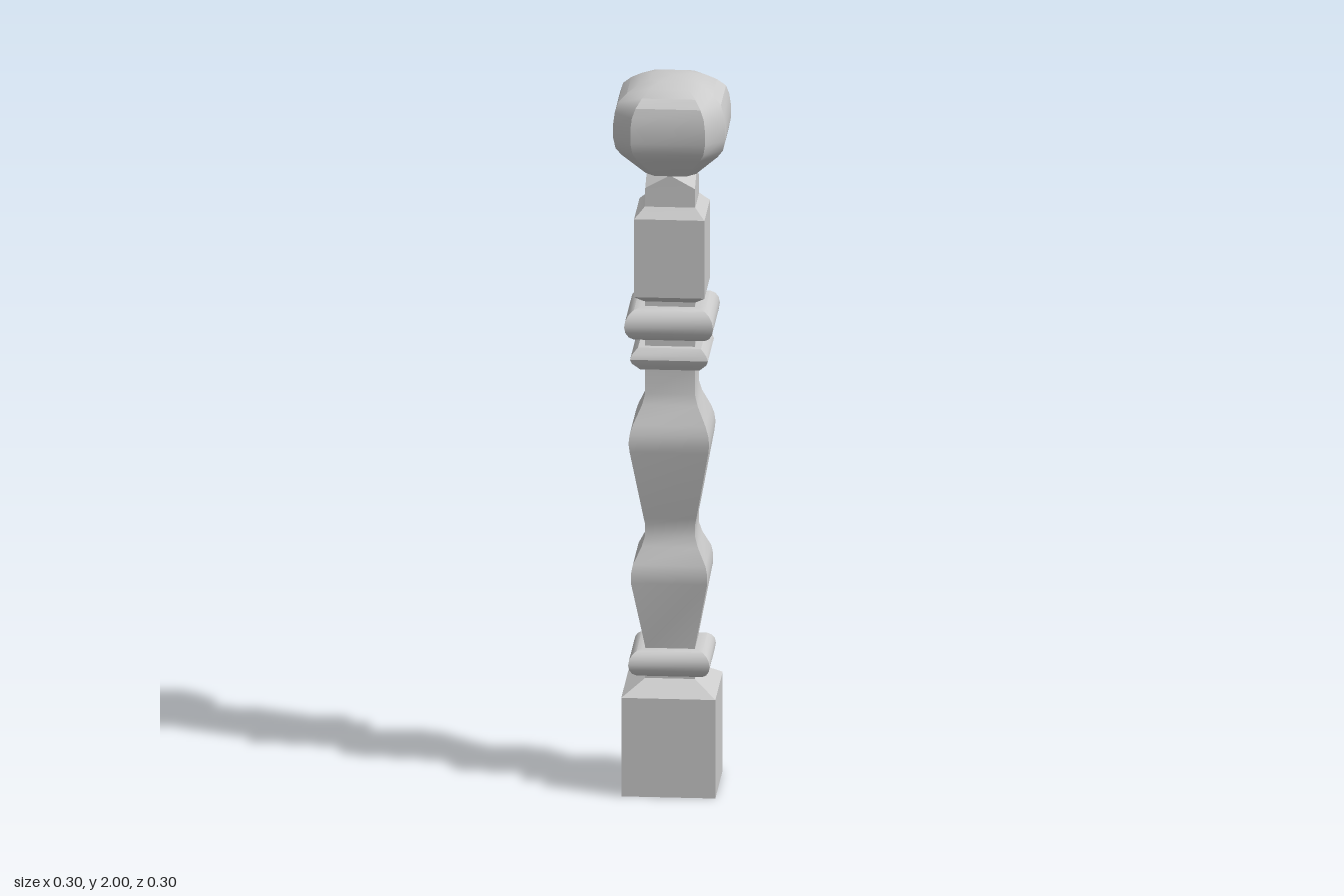
import * as THREE from 'three';
import { toCreasedNormals } from 'three/addons/utils/BufferGeometryUtils.js';

// Cross-section: a square with cut corners. c = 1 is a full square, c = 0 a diamond.
function section([y, half, c = 1]) {
  const ring = [[1, -c], [1, c], [c, 1], [-c, 1], [-1, c], [-1, -c], [-c, -1], [c, -1]];
  return ring.map(([x, n]) => new THREE.Vector3(x * half, y, -n * half));
}

// Skin a list of [height, half width, corner] rows from bottom to top.
function loft(rows, crease) {
  const rings = rows.map(section);
  const pos = [];
  const tri = new THREE.Triangle();
  const add = (a, b, c) => {
    if (tri.set(a, b, c).getArea() > 1e-8) for (const p of [a, b, c]) pos.push(p.x, p.y, p.z);
  };
  for (let r = 0; r < rings.length - 1; r++) {
    const lo = rings[r], hi = rings[r + 1];
    for (let i = 0; i < 8; i++) {
      const j = (i + 1) % 8;
      add(lo[i], lo[j], hi[j]);
      add(lo[i], hi[j], hi[i]);
    }
  }
  const geo = new THREE.BufferGeometry();
  geo.setAttribute('position', new THREE.Float32BufferAttribute(pos, 3));
  return toCreasedNormals(geo, crease);
}

// Square ring with a rounded edge
function ringRows(y0, y1, inner, outer, round) {
  const rows = [[y0, inner]];
  const mid = (y0 + y1) / 2, h = (y1 - y0) / 2;
  for (let k = 0; k <= 8; k++) {
    const a = -Math.PI / 2 + (Math.PI * k) / 8;
    rows.push([mid + h * Math.sin(a), outer - round + round * Math.cos(a)]);
  }
  rows.push([y1, inner]);
  return rows;
}

export function createModel() {
  const group = new THREE.Group();
  const material = new THREE.MeshStandardMaterial({ color: 0xcccccc });
  const N = 0.067; // half width of the narrow necks

  const part = (name, rows, crease = 0.6) => {
    const mesh = new THREE.Mesh(loft(rows, crease), material);
    mesh.name = name;
    group.add(mesh);
  };

  // Plinth with sloped shoulder
  part('base', [[0, 0], [0, 0.127], [0.278, 0.127], [0.317, N], [0.335, N]]);
  part('lowerRing', ringRows(0.327, 0.402, 0.06, 0.11, 0.035));

  // Two swelling vase shapes
  part('shaft', [
    [0.39, N], [0.405, N], [0.595, 0.103], [0.62, 0.103], [0.645, 0.098], [0.69, 0.076],
    [0.72, 0.067], [0.75, N], [0.77, 0.071], [0.965, 0.106], [0.99, 0.109], [1.015, 0.106],
    [1.04, 0.098], [1.09, 0.075], [1.12, N], [1.2, N],
  ], 0.7);

  // Collar rings between the shaft and the upper block
  part('collarNeck', [[1.19, N], [1.39, N]]);
  part('middleRing', [
    [1.192, 0.06], [1.192, 0.08], [1.214, 0.101], [1.226, 0.105], [1.238, 0.101],
    [1.255, 0.085], [1.255, 0.06],
  ]);
  part('upperRing', ringRows(1.277, 1.367, 0.06, 0.12, 0.04));

  // Upper block, its neck ending in a diamond
  part('upperBlock', [
    [1.38, N], [1.385, 0.075], [1.4, 0.095], [1.62, 0.095], [1.632, 0.083], [1.648, 0.068],
    [1.7, N], [1.737, N, 0],
  ]);

  // Faceted ball
  part('finial', [
    [1.735, 0, 0.6], [1.735, 0.068, 0.62], [1.798, 0.13, 0.65], [1.82, 0.145, 0.66],
    [1.85, 0.151, 0.667], [1.89, 0.151, 0.667], [1.92, 0.147, 0.66], [1.946, 0.139, 0.63],
    [1.968, 0.116, 0.62], [1.986, 0.088, 0.6], [1.997, 0.055, 0.55], [2, 0, 0.5],
  ], 0.5);

  return group;
}
